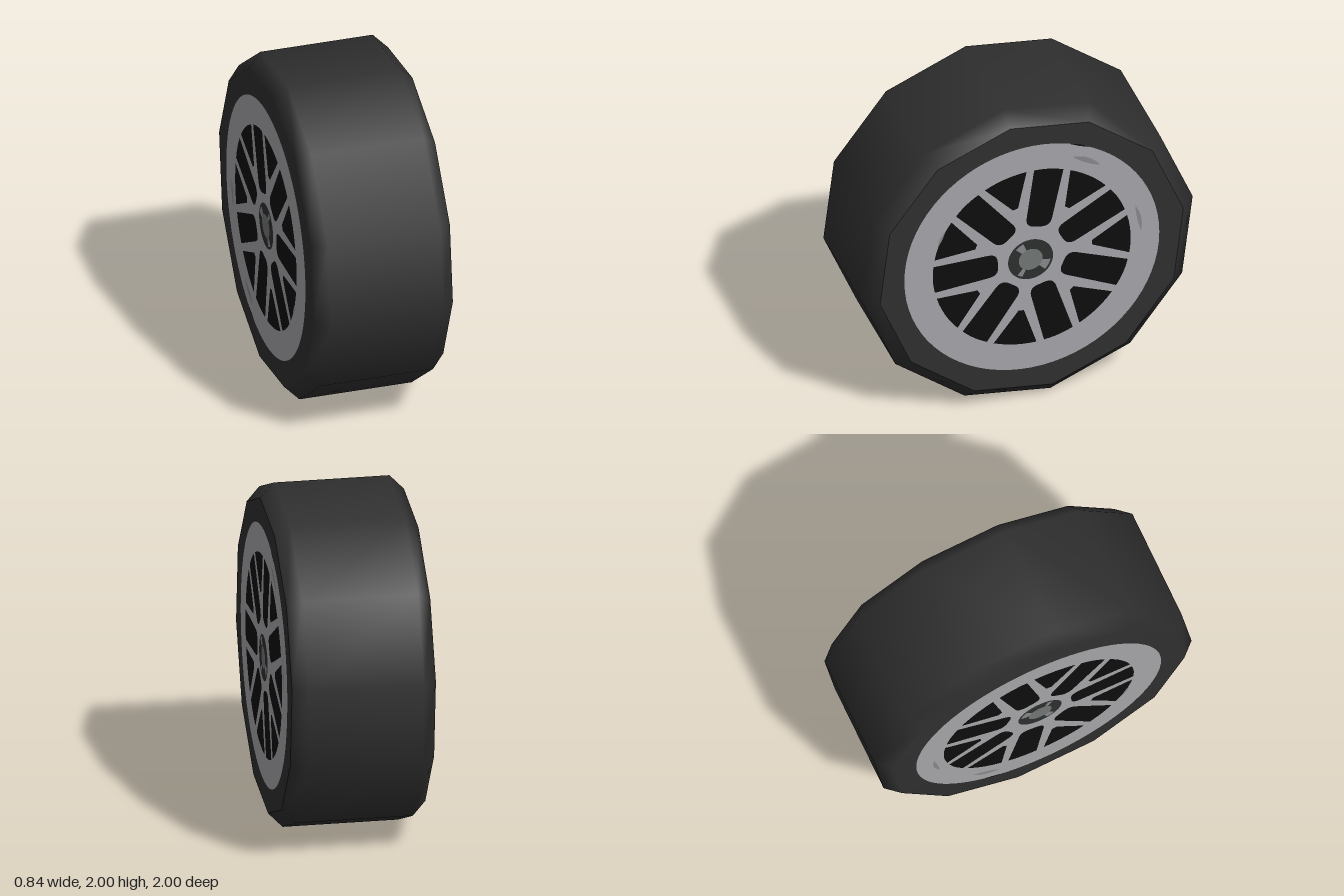
import * as THREE from 'three';

const mat = (name, color) => {
  const m = new THREE.MeshStandardMaterial({ color });
  m.name = name;
  return m;
};
const rubber = mat('rubber', 0x2f2f2f);
const alloy = mat('alloy', 0xa5a5a9);
const opening = mat('opening', 0x0d0d0d);
const hubDark = mat('hub dark', 0x2d2f2e);
const hubGrey = mat('hub grey', 0x717674);
const scuff = mat('scuff', 0x86888a);

const RAD = Math.PI / 180;
const polar = (r, deg) => new THREE.Vector2(r * Math.cos(deg * RAD), r * Math.sin(deg * RAD));
const CENTRE = new THREE.Vector2();

function add(parent, name, geometry, material, depth = 0) {
  const mesh = new THREE.Mesh(geometry, material);
  mesh.name = name;
  mesh.position.z = depth;
  parent.add(mesh);
  return mesh;
}

// Twelve-sided body of revolution around the x axis
function turned(profile) {
  const points = profile.map(([r, x]) => new THREE.Vector2(r, x));
  return new THREE.LatheGeometry(points, 12, 8 * RAD).rotateZ(-Math.PI / 2);
}

// Slot with rounded inner corners and a curved outer end
function slotPath(deg) {
  const local = new THREE.Path();
  local.moveTo(0.59, -0.09);
  local.lineTo(0.26, -0.078);
  local.quadraticCurveTo(0.205, -0.075, 0.205, -0.02);
  local.lineTo(0.205, 0.02);
  local.quadraticCurveTo(0.205, 0.075, 0.26, 0.078);
  local.lineTo(0.59, 0.09);
  local.quadraticCurveTo(0.607, 0, 0.59, -0.09);
  return new THREE.Path(local.getPoints(6).map(p => p.rotateAround(CENTRE, deg * RAD)));
}

// Triangular window between two slots
function trianglePath(deg) {
  const points = [polar(0.365, deg - 2.5), polar(0.365, deg + 2.5)];
  for (let i = 0; i <= 6; i++) points.push(polar(0.597, deg + 12.7 - (i * 25.4) / 6));
  return new THREE.Path(points);
}

// Thin lens-shaped mark following the rim
function lens(radius, deg, halfAngle, halfWidth) {
  const outer = [], inner = [];
  for (let i = 0; i <= 8; i++) {
    const t = i / 4 - 1;
    const w = halfWidth * (1 - t * t);
    outer.push(polar(radius + w, deg + t * halfAngle));
    if (i > 0 && i < 8) inner.unshift(polar(radius - w, deg + t * halfAngle));
  }
  return new THREE.ShapeGeometry(new THREE.Shape([...outer, ...inner]));
}

// One wheel face, drawn in the xy plane facing +z
function wheelFace() {
  const face = new THREE.Group();
  add(face, 'spoke openings', new THREE.CircleGeometry(0.65, 48), opening, 0.001);

  const disc = new THREE.Shape();
  disc.absarc(0, 0, 0.77, 0, Math.PI * 2);
  for (let i = 0; i < 7; i++) {
    const deg = 80 + (i * 360) / 7;
    disc.holes.push(slotPath(deg), trianglePath(deg + 180 / 7));
  }
  add(face, 'rim and spokes', new THREE.ShapeGeometry(disc, 36), alloy, 0.002);

  // Rim marks
  add(face, 'upper rim mark', lens(0.685, 61, 8, 0.017), scuff, 0.003);
  add(face, 'side rim mark', lens(0.66, 11, 8, 0.012), scuff, 0.003);
  add(face, 'small rim mark', lens(0.6, 156, 5, 0.008), scuff, 0.003);
  add(face, 'rim edge mark', lens(0.768, 68, 4.5, 0.005), opening, 0.003);

  // Hub
  const hub = new THREE.Group();
  hub.name = 'hub';
  hub.position.set(-0.008, -0.015, 0);
  face.add(hub);
  add(hub, 'hub recess', new THREE.CircleGeometry(0.136, 36), hubDark, 0.003);
  for (const [deg, span] of [[124, 26], [-28, 34], [238, 16]]) {
    const notch = new THREE.RingGeometry(0.07, 0.122, 6, 1, (deg - span / 2) * RAD, span * RAD);
    add(hub, 'hub notch', notch, scuff, 0.004);
  }
  add(hub, 'hub cap', new THREE.CircleGeometry(0.072, 24), hubGrey, 0.005);
  return face;
}

export function createModel() {
  const model = new THREE.Group();
  model.name = 'wheel';
  const wheel = new THREE.Group();
  wheel.name = 'wheel body';
  wheel.position.y = 1;
  model.add(wheel);

  // Tyre: smooth tread, shoulders and right sidewall; crisp left sidewall
  const R = 1.0098, r = 0.925, w = 0.417;
  add(wheel, 'tyre tread', turned([[0, -w], [r, -w], [R, -0.335], [R, 0.335], [r, w]]), rubber);
  add(wheel, 'tyre sidewall', turned([[r, w], [0, w]]), rubber);

  // The second face is the first turned half a turn about the z axis
  for (const side of [0, 1]) {
    const holder = new THREE.Group();
    holder.name = side ? 'rightFace' : 'leftFace';
    holder.rotation.z = side * Math.PI;
    const face = wheelFace();
    face.name = 'wheel face';
    face.rotation.y = Math.PI / 2;
    face.position.x = w;
    holder.add(face);
    wheel.add(holder);
  }
  return model;
}
